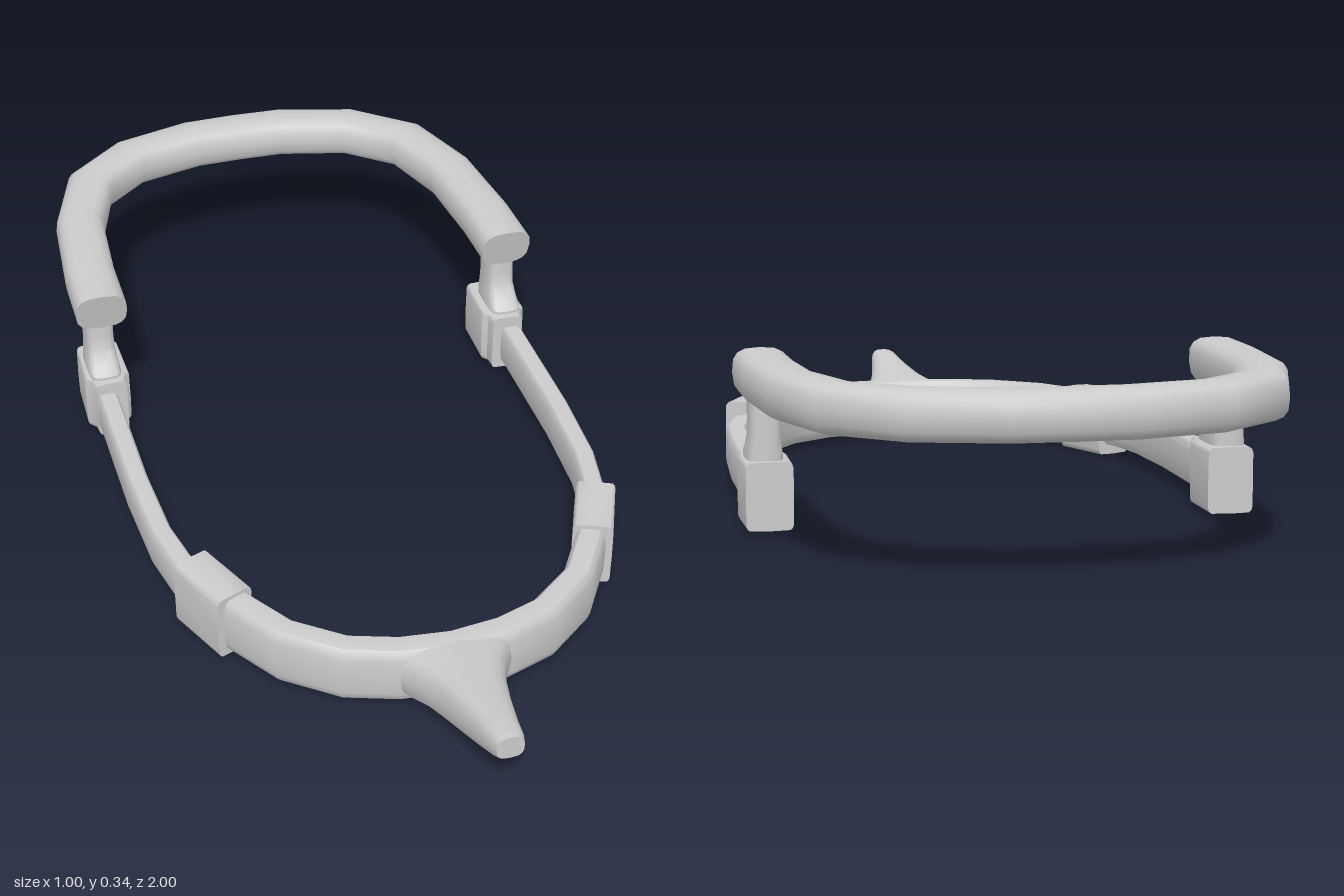
import * as THREE from 'three';
import { toCreasedNormals } from 'three/addons/utils/BufferGeometryUtils.js';

const material = new THREE.MeshStandardMaterial({ color: 0xcccccc });
const Y = new THREE.Vector3(0, 1, 0);
const Z = new THREE.Vector3(0, 0, 1);
const N = 16;

// Rounded section swept through stations [x, y, z, width, height, lean];
// higher e gives squarer corners, lean slants a section along the path.
function sweep(name, stations, e = 3, up = Y) {
  const centres = stations.map(s => new THREE.Vector3(s[0], s[1], s[2]));
  const last = centres.length - 1;
  const pos = [], idx = [];
  const power = v => Math.abs(v) < 1e-9 ? 0 : Math.sign(v) * Math.abs(v) ** (2 / e);
  stations.forEach(([, , , w, h, lean = 0], i) => {
    const t = centres[Math.min(i + 1, last)].clone().sub(centres[Math.max(i - 1, 0)]);
    t.addScaledVector(up, -t.dot(up)).normalize();
    const side = new THREE.Vector3().crossVectors(up, t);
    for (let j = 0; j < N; j++) {
      const a = j / N * Math.PI * 2;
      const v = power(Math.sin(a)) * h / 2;
      const p = centres[i].clone().addScaledVector(side, power(Math.cos(a)) * w / 2)
        .addScaledVector(up, v).addScaledVector(t, v * lean);
      pos.push(p.x, p.y, p.z);
    }
  });
  for (let i = 0; i < last; i++) {
    for (let j = 0; j < N; j++) {
      const a = i * N + j, b = i * N + (j + 1) % N;
      idx.push(a, b, b + N, a, b + N, a + N);
    }
  }
  for (let j = 1; j < N - 1; j++) {
    idx.push(0, j + 1, j, last * N, last * N + j, last * N + j + 1);
  }
  const geo = new THREE.BufferGeometry();
  geo.setAttribute('position', new THREE.Float32BufferAttribute(pos, 3));
  geo.setIndex(idx);
  const mesh = new THREE.Mesh(toCreasedNormals(geo, 0.7), material);
  mesh.name = name;
  return mesh;
}

// Continue a half path (ending on x = 0) onto the other side
function mirrorPath(half) {
  const other = half.slice(0, -1).reverse().map(([x, ...r]) => [-x, ...r]);
  return [...half, ...other];
}

export function createModel() {
  const model = new THREE.Group();
  model.name = 'wraparoundFrame';

  // Raised U-shaped band at the back
  const back = mirrorPath([
    [0.447, -0.31, 0.108], [0.445, -0.44, 0.108], [0.428, -0.64, 0.105],
    [0.374, -0.805, 0.105], [0.26, -0.903, 0.105], [0.105, -0.945, 0.107], [0, -0.948, 0.107],
  ].map(([x, z, w]) => [x, 0.295, z, w, 0.09]));
  back[0].push(-0.24);
  back[back.length - 1].push(0.24);
  model.add(sweep('backBand', back));

  // Curved front band
  const front = mirrorPath([
    [0.385, 0.40], [0.362, 0.455], [0.29, 0.57], [0.195, 0.645], [0.1, 0.677], [0, 0.688],
  ].map(([x, z]) => [x, 0.073, z, 0.062, 0.125]));
  model.add(sweep('frontBand', front, 4));

  // Tapering, upswept front prong: z, width, bottom, top
  const prong = [
    [0.675, 0.24, 0.015, 0.132], [0.715, 0.21, 0.013, 0.136], [0.75, 0.165, 0.022, 0.14],
    [0.8, 0.13, 0.035, 0.146], [0.87, 0.098, 0.06, 0.155],
    [0.94, 0.073, 0.09, 0.164], [0.985, 0.06, 0.113, 0.17], [1, 0.052, 0.122, 0.17],
  ].map(([z, w, lo, hi]) => [0, (lo + hi) / 2, z, w, hi - lo]);
  model.add(sweep('frontProng', prong, 3));

  for (const s of [1, -1]) {
    const side = new THREE.Group();
    side.name = s > 0 ? 'leftSide' : 'rightSide';

    // Slim arm linking the rear block to the clamp
    side.add(sweep('sideArm', [
      [0.453, -0.32], [0.453, -0.1], [0.453, 0.02], [0.444, 0.2], [0.425, 0.3], [0.388, 0.4],
    ].map(([x, z]) => [s * x, 0.07, z, 0.046, 0.09]), 5));

    // Angled clamp between arm and front band
    side.add(sweep('clamp', [
      [s * 0.415, 0.073, 0.338, 0.08, 0.14],
      [s * 0.36, 0.073, 0.467, 0.08, 0.14],
    ], 10));

    // Rear block, narrower at its front end
    side.add(sweep('rearBlock', [
      [s * 0.445, 0.075, -0.425, 0.09, 0.13],
      [s * 0.446, 0.075, -0.31, 0.096, 0.13],
      [s * 0.445, 0.075, -0.298, 0.072, 0.13],
      [s * 0.444, 0.075, -0.27, 0.066, 0.13],
    ], 10));

    // Post carrying the back band, flared forward at its foot
    side.add(sweep('post', [
      [0.12, 0.07, -0.285, -0.41], [0.145, 0.07, -0.285, -0.41], [0.16, 0.066, -0.305, -0.41],
      [0.185, 0.06, -0.325, -0.41], [0.22, 0.06, -0.33, -0.41], [0.28, 0.06, -0.33, -0.41],
    ].map(([y, w, z0, z1]) => [s * 0.449, y, (z0 + z1) / 2, w, z0 - z1]), 4, Z));

    model.add(side);
  }
  return model;
}
